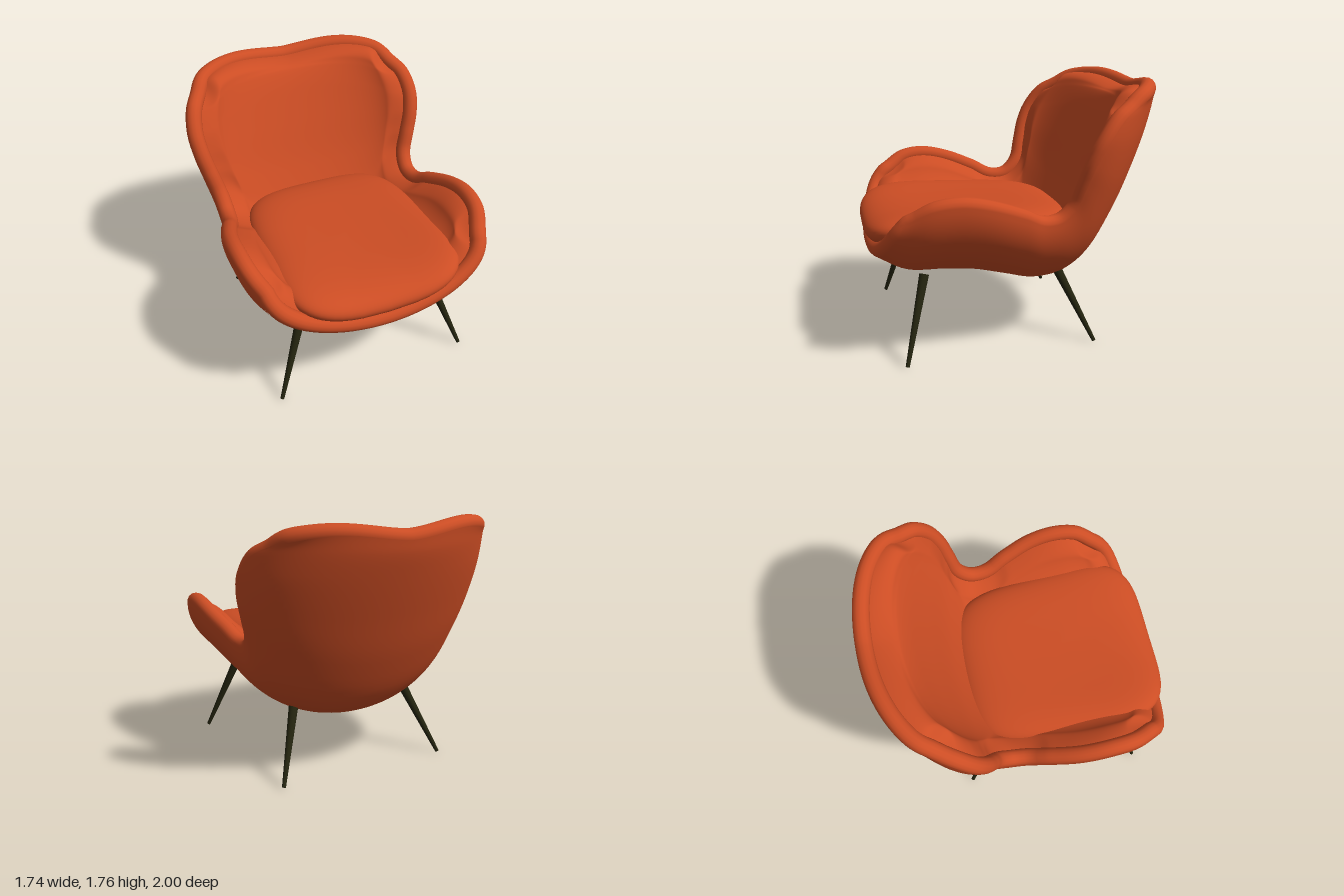
import * as THREE from 'three';
import { mergeVertices } from 'three/addons/utils/BufferGeometryUtils.js';

const V = (x, y, z) => new THREE.Vector3(x, y, z);

// Smooth surface from a point rule p(u, v), both running 0..1
function surface(nu, nv, p, flip) {
  const pos = [], idx = [];
  for (let i = 0; i <= nu; i++)
    for (let j = 0; j <= nv; j++) pos.push(...p(i / nu, j / nv).toArray());
  for (let i = 0; i < nu; i++)
    for (let j = 0; j < nv; j++) {
      const a = i * (nv + 1) + j, b = a + 1, c = a + nv + 1, d = c + 1;
      if (flip) idx.push(a, c, b, b, c, d);
      else idx.push(a, b, c, b, d, c);
    }
  let g = new THREE.BufferGeometry();
  g.setAttribute('position', new THREE.Float32BufferAttribute(pos, 3));
  g.setIndex(idx);
  g = mergeVertices(g);
  g.computeVertexNormals();
  return g;
}

// Shell stations from front lip to top of back: spine y, z then rim x, y, z
const STATIONS = [
  [0.60, 0.96, 0.78, 0.97, 0.80],
  [0.487, 0.76, 0.85, 1.05, 0.64],
  [0.468, 0.50, 0.87, 1.07, 0.46],
  [0.447, 0.30, 0.86, 1.03, 0.26],
  [0.39, 0.08, 0.81, 0.95, 0.05],
  [0.342, -0.12, 0.77, 0.89, -0.08],
  [0.37, -0.32, 0.76, 0.90, -0.19],
  [0.50, -0.50, 0.77, 0.98, -0.27],
  [0.82, -0.69, 0.81, 1.12, -0.32],
  [1.15, -0.83, 0.85, 1.27, -0.37],
  [1.41, -0.93, 0.865, 1.42, -0.45],
  [1.56, -0.98, 0.83, 1.55, -0.56],
  [1.64, -0.995, 0.74, 1.63, -0.71],
];
const spine = new THREE.CatmullRomCurve3(STATIONS.map(s => V(0, s[0], s[1])));
const rim = new THREE.CatmullRomCurve3(STATIONS.map(s => V(s[2], s[3], s[4])));
const EDGE = 0.11;

// Outer skin: each station is an elliptic arc from rim to rim through the spine,
// a full half ellipse low down and a shallower arc near the top
function outer(u, v) {
  const c = spine.getPoint(u), r = rim.getPoint(u), s = v * 2 - 1;
  const end = Math.PI / 2 - 0.37 * THREE.MathUtils.smoothstep(u, 0.7, 1);
  const a = s * end;
  const p = c.lerp(r, (1 - Math.cos(a)) / (1 - Math.cos(end)));
  p.x = r.x * Math.sin(a) / Math.sin(end);
  p.y += 0.045 * Math.pow(u, 10) * Math.sin(Math.PI * Math.abs(s)) ** 1.5;
  return p;
}

// Direction into the seat
function inward(u, v) {
  const e = 0.004, cl = t => Math.min(1, Math.max(0, t));
  const du = outer(cl(u + e), v).sub(outer(cl(u - e), v));
  const dv = outer(u, cl(v + e)).sub(outer(u, cl(v - e)));
  return dv.cross(du).normalize();
}

const offset = (u, v, t) => outer(u, v).addScaledVector(inward(u, v), t);

// Quarter-round swell over distance d from an edge
const swell = d => Math.sqrt(1 - (1 - Math.min(1, d / 0.16)) ** 2);
// Packs samples towards both ends
const ease = t => (1 - Math.cos(Math.PI * t)) / 2;

// Padding rounds over from the edge roll and is fullest in the middle
function padding(i, j) {
  const u = ease(i), v = ease(j);
  const s = Math.abs(v * 2 - 1), k = Math.abs(u * 2 - 1);
  const round = swell(0.9 * (1 - s)) * swell(1.6 * (1 - k));
  const full = 0.2 + 0.11 * (1 - s * s) ** 2 * (1 - k ** 4);
  return offset(u, v, EDGE / 2 + (full - EDGE / 2) * round);
}

// Rounded roll running all the way round the shell edge
function edgeRoll() {
  const pts = [], n = 36, h = EDGE / 2;
  for (let i = 0; i < n; i++) pts.push(offset(0, i / n, h));
  for (let i = 0; i < n; i++) pts.push(offset(i / n, 1, h));
  for (let i = 0; i < n; i++) pts.push(offset(1, 1 - i / n, h));
  for (let i = 0; i < n; i++) pts.push(offset(1 - i / n, 0, h));
  const path = new THREE.CatmullRomCurve3(pts, true);
  return new THREE.TubeGeometry(path, 260, h, 14, true);
}

// Seat cushion: rounded-square pillow that sags across its front
function cushionPoint(u, v) {
  const lat = (u - 0.5) * Math.PI, phi = v * Math.PI * 2;
  const r = Math.pow(Math.max(0, Math.cos(lat)), 0.4);
  const sq = t => Math.sign(t) * Math.sqrt(Math.abs(t));
  const zn = r * sq(Math.sin(phi));
  const x = r * sq(Math.cos(phi)) * (0.61 + 0.03 * zn);
  const sag = 0.09 * (x / 0.6) ** 2 * (0.5 + 0.5 * zn);
  return V(x, 0.78 - 0.01 * zn + sag + 0.125 * Math.sin(lat), 0.295 + 0.705 * zn);
}

// Tapered leg from its foot up into the shell
function leg(foot, top, material) {
  const dir = top.clone().sub(foot);
  const m = new THREE.Mesh(new THREE.CylinderGeometry(0.032, 0.013, dir.length(), 16), material);
  m.position.copy(foot).addScaledVector(dir, 0.5);
  m.quaternion.setFromUnitVectors(V(0, 1, 0), dir.normalize());
  return m;
}

export function createModel() {
  const fabric = new THREE.MeshStandardMaterial({ color: 0xcc4d24 });
  fabric.name = 'orange fabric';
  const wood = new THREE.MeshStandardMaterial({ color: 0x24240f });
  wood.name = 'dark wood';

  const chair = new THREE.Group();
  chair.name = 'armchair';
  const add = (name, geometry) => {
    const m = new THREE.Mesh(geometry, fabric);
    m.name = name;
    chair.add(m);
  };

  add('shellOutside', surface(72, 56, outer, true));
  add('shellPadding', surface(110, 90, padding, false));
  add('shellEdge', edgeRoll());
  add('seatCushion', surface(28, 72, cushionPoint, true));

  // Splayed legs, mirrored left and right
  for (const side of [1, -1]) {
    const name = side > 0 ? 'Left' : 'Right';
    const front = leg(V(side * 0.68, 0, 0.80), V(side * 0.48, 0.54, 0.65), wood);
    front.name = 'front' + name + 'Leg';
    const back = leg(V(side * 0.61, 0, -0.48), V(side * 0.435, 0.465, -0.27), wood);
    back.name = 'back' + name + 'Leg';
    chair.add(front, back);
  }
  return chair;
}
